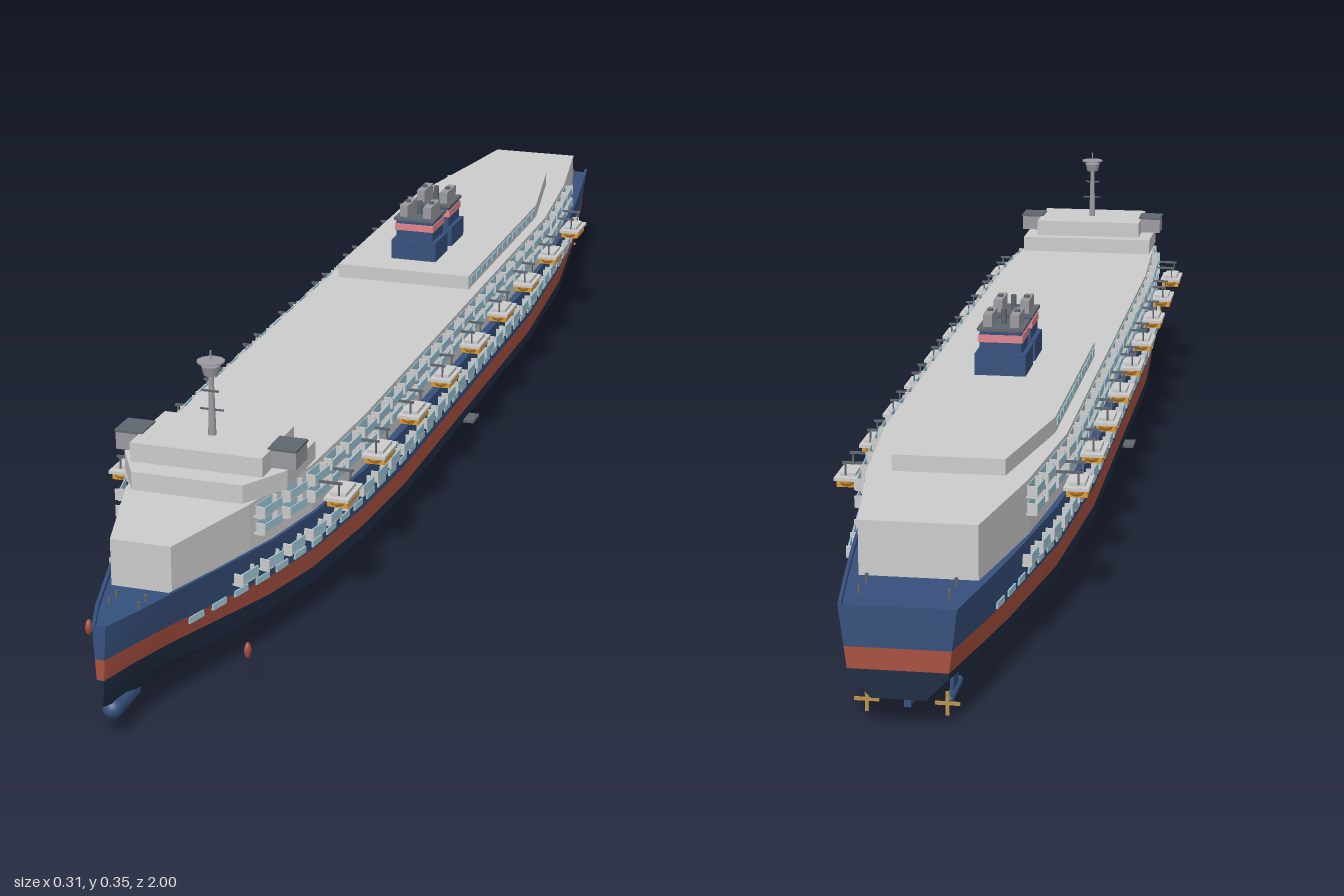
import * as THREE from 'three';
import { mergeGeometries, toCreasedNormals } from 'three/addons/utils/BufferGeometryUtils.js';

const mat = (color, side = THREE.FrontSide) => new THREE.MeshStandardMaterial({ color, side });
const NAVY = mat(0x36507c), DARK = mat(0x1f2c42), RED = mat(0xa8503f), WHITE = mat(0xd0d0d4), GREY = mat(0x9a9aa0),
  GLASS = mat(0x9cc6d6), ORANGE = mat(0xe09a30), PINK = mat(0xe0868e), STEEL = mat(0x60666e), BRASS = mat(0xb8934a);

// hull stations: z, deck height, deck half width, chine half width, bottom half width, keel height
const STATIONS = [
  [1, 0.148, 0.008, 0.004, 0.002, 0.05], [0.95, 0.147, 0.026, 0.012, 0.003, 0.034],
  [0.88, 0.145, 0.046, 0.028, 0.006, 0.024], [0.8, 0.142, 0.069, 0.052, 0.02, 0.018],
  [0.7, 0.138, 0.094, 0.082, 0.04, 0.015], [0.6, 0.136, 0.112, 0.105, 0.06, 0.015],
  [0.45, 0.134, 0.125, 0.122, 0.078, 0.015], [0.3, 0.133, 0.13, 0.13, 0.085, 0.015],
  [-0.35, 0.133, 0.13, 0.13, 0.085, 0.015], [-0.6, 0.134, 0.118, 0.115, 0.07, 0.015],
  [-0.8, 0.136, 0.094, 0.088, 0.05, 0.02], [-0.9, 0.138, 0.08, 0.072, 0.035, 0.027],
  [-1, 0.14, 0.065, 0.055, 0.03, 0.035]];
// deckhouse plan: z, half width
const HOUSE = [[0.88, 0.037], [0.74, 0.078], [0.6, 0.107], [0.42, 0.115], [-0.5, 0.115], [-0.7, 0.097], [-0.88, 0.068]];

function sample(table, z) {
  let i = 0;
  while (i < table.length - 2 && table[i + 1][0] > z) i++;
  const a = table[i], b = table[i + 1], t = (z - a[0]) / (b[0] - a[0]);
  return a.map((v, k) => v + (b[k] - v) * t);
}

// half section from the keel up over the bulwark to the deck centre
function section([z, dy, dw, cw, bw, ky]) {
  const cy = ky + 0.025, s = 0.055 + (dy - 0.133) * 1.8;
  const w = y => cw + (dw - cw) * (y - cy) / (dy - cy);
  const inner = Math.max(dw - 0.004, 0.001);
  return [[0, ky], [bw, ky], [cw, cy], [w(s), s], [w(s + 0.025), s + 0.025], [dw, dy],
    [inner, dy], [inner, dy - 0.006], [0, dy - 0.006]].map(p => new THREE.Vector3(p[0], p[1], z));
}

const hullHalf = (z, y) => {
  const [, dy, dw, cw, , ky] = sample(STATIONS, z);
  return cw + (dw - cw) * (y - ky - 0.025) / (dy - ky - 0.025);
};

// skin between two section levels, mirrored, with bow and stern closed
function hullBand(from, to, caps) {
  const pos = [], rows = STATIONS.map(section);
  const quad = (a, b, c, d) => {
    for (const p of [a, b, c, a, c, d]) pos.push(p.x, p.y, p.z);
    for (const p of [a, c, b, a, d, c]) pos.push(-p.x, p.y, p.z);
  };
  const mid = p => new THREE.Vector3(0, p.y, p.z);
  for (let j = from; j < to; j++) {
    for (let i = 0; i < rows.length - 1; i++) quad(rows[i][j], rows[i + 1][j], rows[i + 1][j + 1], rows[i][j + 1]);
    if (!caps) continue;
    const f = rows[0], b = rows[rows.length - 1];
    quad(mid(f[j]), f[j], f[j + 1], mid(f[j + 1]));
    quad(b[j], mid(b[j]), mid(b[j + 1]), b[j + 1]);
  }
  const g = new THREE.BufferGeometry();
  g.setAttribute('position', new THREE.Float32BufferAttribute(pos, 3));
  return toCreasedNormals(g, 0.4);
}

// vertical block over a mirrored plan of [z, half width]
function planBlock(pts, y0, y1) {
  const right = pts.map(([z, x]) => new THREE.Vector2(x, -z));
  const left = pts.map(([z, x]) => new THREE.Vector2(-x, -z)).reverse();
  return new THREE.ExtrudeGeometry(new THREE.Shape([...right, ...left]), { depth: y1 - y0, bevelEnabled: false })
    .rotateX(-Math.PI / 2).translate(0, y0, 0);
}

const box = (w, h, d, x, y, z, ry = 0) => new THREE.BoxGeometry(w, h, d).rotateY(ry).translate(x, y, z);
const cyl = (r0, r1, h, x, y, z, n = 12) => new THREE.CylinderGeometry(r0, r1, h, n).translate(x, y, z);

export function createModel() {
  const ship = new THREE.Group();
  ship.name = 'cruiseShip';
  const add = (name, geo, material, parent = ship) => {
    const m = new THREE.Mesh(Array.isArray(geo) ? mergeGeometries(geo) : geo, material);
    m.name = name;
    parent.add(m);
    return m;
  };

  // hull
  add('lowerHull', hullBand(0, 3, true), DARK);
  add('hullStripe', hullBand(3, 4, true), RED);
  add('upperHull', hullBand(4, 5, true), NAVY);
  add('foreAndAftDeck', hullBand(5, 8, false), NAVY);

  // deckhouse, upper deck and bridge
  add('deckhouse', planBlock(HOUSE, 0.125, 0.196), WHITE);
  add('upperDeck', planBlock([[-0.11, 0.1], [-0.5, 0.1], [-0.69, 0.068]], 0.196, 0.216), WHITE);
  add('bridgeBase', planBlock([[0.74, 0.07], [0.68, 0.104], [0.58, 0.104]], 0.196, 0.219), WHITE);
  add('bridge', planBlock([[0.71, 0.084], [0.6, 0.084]], 0.219, 0.243), WHITE);

  // things repeated on both sides
  const windows = [], slabs = [], walls = [], glass = [], hulls = [], roofs = [], davits = [],
    wings = [], wingRoofs = [], fins = [], anchors = [], bollards = [];
  for (const s of [-1, 1]) {
    const slope = (half, z) => s * Math.atan((half(z + 0.01) - half(z - 0.01)) / 0.02);

    // hull windows and balconies
    for (let i = 0; i < 42; i++) {
      const z = 0.84 - i * 0.041, half = q => hullHalf(q, 0.095);
      windows.push(box(0.004, 0.008, 0.026, s * half(z), 0.094, z, slope(half, z)));
    }
    for (let i = 0; i < 31; i++) {
      const z = 0.76 - i * 0.05, half = q => hullHalf(q, 0.116), a = slope(half, z), x = half(z);
      slabs.push(box(0.014, 0.002, 0.036, s * (x + 0.003), 0.109, z, a));
      glass.push(box(0.002, 0.012, 0.036, s * (x + 0.009), 0.116, z, a));
      for (const e of [-0.017, 0.017]) walls.push(box(0.013, 0.014, 0.002, s * (x + 0.003), 0.116, z + e, a));
    }

    // deckhouse balconies in two rows
    for (const y of [0.156, 0.177]) for (let i = 0; i < 26; i++) {
      const z = 0.71 - i * 0.056, half = q => sample(HOUSE, q)[1], a = slope(half, z), x = half(z);
      slabs.push(box(0.013, 0.002, 0.044, s * (x + 0.005), y, z, a));
      glass.push(box(0.0015, 0.01, 0.044, s * (x + 0.011), y + 0.006, z, a));
      windows.push(box(0.002, 0.012, 0.034, s * x, y + 0.008, z, a));
      for (const e of [-0.021, 0.021]) walls.push(box(0.012, 0.014, 0.002, s * (x + 0.005), y + 0.007, z + e, a));
    }

    // upper deck windows
    for (let i = 0; i < 13; i++) windows.push(box(0.003, 0.009, 0.02, s * 0.1, 0.207, -0.13 - i * 0.029));

    // lifeboats with davits
    for (let i = -4; i <= 4; i++) {
      const z = i * 0.146;
      const boat = new THREE.SphereGeometry(1, 12, 8, 0, Math.PI * 2, Math.PI / 2, Math.PI / 2);
      hulls.push(boat.scale(0.015, 0.012, 0.032).translate(s * 0.141, 0.156, z), box(0.026, 0.008, 0.046, s * 0.141, 0.151, z));
      roofs.push(box(0.031, 0.004, 0.058, s * 0.141, 0.158, z), box(0.02, 0.005, 0.04, s * 0.141, 0.162, z));
      for (const e of [-0.022, 0.022]) {
        davits.push(box(0.034, 0.003, 0.003, s * 0.13, 0.178, z + e), box(0.002, 0.016, 0.002, s * 0.143, 0.17, z + e));
      }
    }

    // bridge wings, stabilizers, anchors and bollards
    wings.push(box(0.034, 0.022, 0.04, s * 0.098, 0.231, 0.66));
    wingRoofs.push(box(0.036, 0.003, 0.042, s * 0.098, 0.2435, 0.66));
    fins.push(box(0.03, 0.004, 0.03, s * 0.13, 0.04, 0));
    anchors.push(new THREE.SphereGeometry(1, 10, 8).scale(0.004, 0.01, 0.006).translate(s * 0.1, 0.045, 0.81));
    for (const z of [0.93, 0.91, -0.92, -0.96]) bollards.push(cyl(0.002, 0.002, 0.01, s * (z > 0 ? 0.018 : 0.05), 0.143, z, 8));
  }
  add('windows', windows, GLASS);
  add('balconyFloors', slabs, WHITE);
  add('balconyDividers', walls, WHITE);
  add('balconyRails', glass, GLASS);
  add('lifeboatHulls', hulls, ORANGE);
  add('lifeboatRoofs', roofs, WHITE);
  add('davits', davits, STEEL);
  add('bridgeWings', wings, GREY);
  add('bridgeWingRoofs', wingRoofs, STEEL);
  add('stabilizerFins', fins, STEEL);
  add('anchors', anchors, RED);
  add('bollards', bollards, STEEL);
  add('bridgeWindows', [box(0.15, 0.007, 0.002, 0, 0.234, 0.7095)], WHITE);

  // funnels
  for (const z of [-0.193, -0.278]) {
    const funnel = new THREE.Group();
    funnel.name = 'funnel';
    funnel.position.z = z;
    ship.add(funnel);
    add('funnelBase', box(0.068, 0.03, 0.064, 0, 0.23, 0), NAVY, funnel);
    add('funnelBody', box(0.056, 0.036, 0.056, 0, 0.259, 0), NAVY, funnel);
    add('funnelBand', box(0.059, 0.01, 0.059, 0, 0.265, 0), PINK, funnel);
    add('funnelCap', box(0.062, 0.004, 0.062, 0, 0.277, 0), STEEL, funnel);
    add('funnelFins', [-1, 1].map(s => box(0.012, 0.018, 0.046, s * 0.018, 0.287, 0)), GREY, funnel);
    add('exhaustPipes', [-0.018, 0, 0.018].map(x => cyl(0.004, 0.004, 0.022, x, 0.288, 0, 10)), STEEL, funnel);
  }

  // radar mast
  const mast = new THREE.Group();
  mast.name = 'mast';
  mast.position.z = 0.655;
  ship.add(mast);
  add('mastPole', [cyl(0.003, 0.005, 0.08, 0, 0.283, 0), cyl(0.001, 0.001, 0.03, 0, 0.335, 0, 6)], GREY, mast);
  add('mastHead', [cyl(0.012, 0.009, 0.012, 0, 0.325, 0), cyl(0.017, 0.017, 0.002, 0, 0.336, 0)], GREY, mast);
  add('mastYards', [box(0.03, 0.002, 0.002, 0, 0.275, 0), box(0.022, 0.002, 0.003, 0, 0.3, 0.004)], STEEL, mast);

  // bulbous bow
  add('bulbousBow', new THREE.CapsuleGeometry(0.012, 0.05, 6, 14).rotateX(Math.PI / 2).translate(0, 0.034, 0.945), NAVY);

  // propulsion pods and rudder
  const pods = [], struts = [], blades = [];
  for (const x of [-0.045, 0.045]) {
    pods.push(new THREE.CapsuleGeometry(0.005, 0.06, 4, 10).rotateX(Math.PI / 2).translate(x, 0.014, -0.91));
    struts.push(box(0.004, 0.028, 0.03, x, 0.028, -0.91));
    for (let k = 0; k < 4; k++) {
      blades.push(new THREE.BoxGeometry(0.004, 0.014, 0.002).translate(0, 0.007, 0)
        .rotateZ(k * Math.PI / 2).translate(x, 0.014, -0.952));
    }
  }
  add('propulsionPods', pods, NAVY);
  add('podStruts', struts, NAVY);
  add('propellers', blades, BRASS);
  add('skeg', box(0.008, 0.022, 0.16, 0, 0.017, -0.87), NAVY);
  return ship;
}
